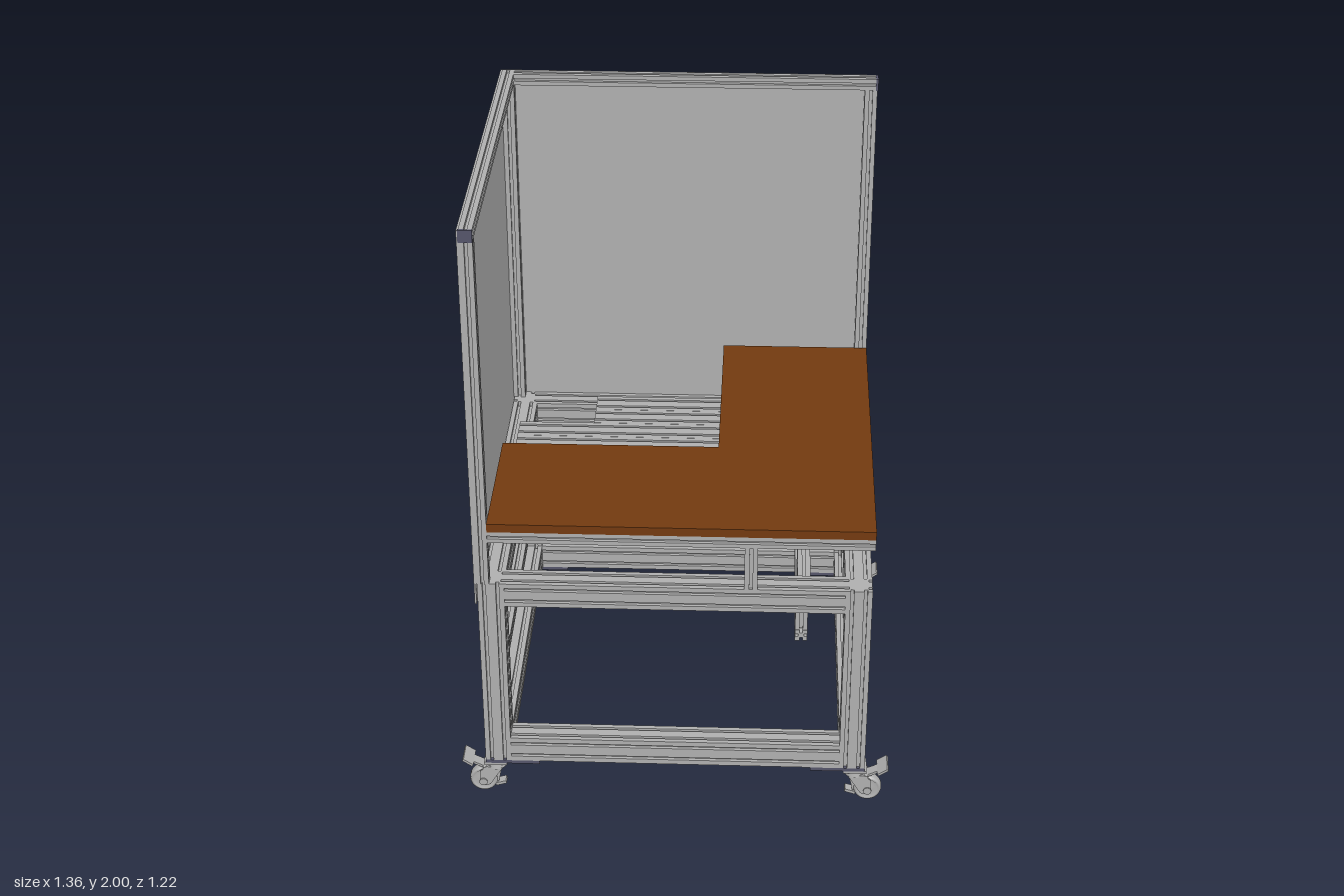
import * as THREE from 'three';

const mat = (name, color, extra = {}) => Object.assign(new THREE.MeshStandardMaterial({ color, ...extra }), { name });

export function createModel() {
  const root = new THREE.Group();
  root.name = 'workstation';
  const metal = mat('aluminium grey', 0xb0b0b0);
  const brown = mat('table brown', 0x733a10);
  const blue = mat('plate blue', 0x2139bd);
  const dark = mat('slate plate', 0x55556a);

  const add = (name, geo, material, parent = root) => {
    const m = new THREE.Mesh(geo, material);
    m.name = name;
    parent.add(m);
    return m;
  };
  const mid = (r) => (r[0] + r[1]) / 2;
  const len = (r) => r[1] - r[0];

  // Plain block given by its ranges
  const block = (name, material, x, y, z, parent) => {
    const m = add(name, new THREE.BoxGeometry(len(x), len(y), len(z)), material, parent);
    m.position.set(mid(x), mid(y), mid(z));
    return m;
  };

  // Slotted profile: one slot per 0.04 of side length
  const profile = (w, h) => {
    const pts = [];
    const corners = [[-w / 2, -h / 2], [w / 2, -h / 2], [w / 2, h / 2], [-w / 2, h / 2]];
    const dirs = [[1, 0], [0, 1], [-1, 0], [0, -1]];
    corners.forEach(([cx, cy], i) => {
      const [dx, dy] = dirs[i];
      const side = i % 2 ? h : w;
      const n = Math.max(1, Math.round(side / 0.04));
      const at = (t, d) => pts.push(new THREE.Vector2(cx + dx * t - dy * d, cy + dy * t + dx * d));
      at(0, 0);
      for (let k = 0; k < n; k++) {
        const c = (k + 0.5) * side / n;
        at(c - 0.005, 0);
        at(c - 0.005, 0.011);
        at(c + 0.005, 0.011);
        at(c + 0.005, 0);
      }
    });
    return new THREE.Shape(pts);
  };

  // Slotted bar filling the given ranges, running along one axis
  const bar = (name, axis, x, y, z) => {
    const [w, h, l] = axis === 'x' ? [len(z), len(y), len(x)]
      : axis === 'y' ? [len(x), len(z), len(y)] : [len(x), len(y), len(z)];
    const g = new THREE.ExtrudeGeometry(profile(w, h), { depth: l, bevelEnabled: false });
    g.translate(0, 0, -l / 2);
    if (axis === 'x') g.rotateY(Math.PI / 2);
    if (axis === 'y') g.rotateX(-Math.PI / 2);
    add(name, g, metal).position.set(mid(x), mid(y), mid(z));
  };
  const span = (s, a, b) => (s > 0 ? [a, b] : [-b, -a]);

  // Lower frame: legs, top and bottom beams
  const O = 0.602, I = 0.52;
  for (const s of [-1, 1]) {
    for (const t of [-1, 1]) {
      bar('leg', 'y', span(s, I, O), [0.14, 0.812], span(t, I, O));
      block('footPlate', dark, span(s, 0.43, O), [0.128, 0.14], span(t, I, O));
    }
    for (const [n, y] of [['topBeam', [0.73, 0.812]], ['bottomBeam', [0.14, 0.228]]]) {
      bar(n, 'x', [-I, I], y, span(s, I, O));
      bar(n, 'z', span(s, I, O), y, [-I, I]);
    }
    bar('sideRail', 'z', span(s, 0.54, 0.58), [0.4, 0.44], [-I, I]);
    bar('hangingPost', 'y', [0.375, 0.415], [0.44, 0.73], span(s, 0.232, 0.272));
  }
  bar('backRail', 'x', [-I, I], [0.4, 0.44], [-0.58, -0.54]);
  bar('innerRail', 'z', [0.375, 0.415], [0.4, 0.44], [-0.54, 0.275]);
  bar('upperInnerRail', 'z', [0.375, 0.415], [0.73, 0.77], [-I, I]);

  // Slatted deck with an open back corner
  for (let i = 0; i < 8; i++) {
    const z = -0.52 + i * 0.0915;
    bar('deckSlat', 'x', [i < 2 ? -0.31 : -0.56, 0.29], [0.812, 0.845], [z, z + 0.0905]);
  }

  // Screen frame and sheets
  const P = [0.565, 0.605];
  const neg = [-0.605, -0.565];
  bar('screenPost', 'y', neg, [0.812, 1.963], neg);
  bar('screenPost', 'y', neg, [0.812, 1.963], P);
  bar('screenPost', 'y', P, [0.812, 1.963], neg);
  bar('screenTopRail', 'z', neg, [1.963, 2], [-0.605, 0.6]);
  bar('screenTopRail', 'x', [-0.565, 0.6], [1.963, 2], neg);
  block('railEndCap', dark, [-0.607, -0.565], [1.961, 2], [0.6, 0.608]);
  block('railEndCap', dark, [0.6, 0.608], [1.961, 2], [-0.607, -0.565]);
  block('sideSheet', metal, [-0.611, -0.605], [0.74, 1.998], [-0.611, 0.605]);
  block('backSheet', metal, [-0.605, 0.605], [0.74, 1.998], [-0.611, -0.605]);

  // Table supports
  const R = [0.962, 1.0];
  bar('tableRail', 'x', [-0.565, 0.605], R, P);
  bar('tableRail', 'z', P, R, [-0.565, 0.565]);
  bar('tableRail', 'x', [-0.565, 0.212], R, [0.212, 0.252]);
  bar('tableRail', 'z', [0.212, 0.252], R, [-0.565, 0.565]);
  for (const [x, z] of [[[0.212, 0.252], P], [P, [0.212, 0.252]]]) {
    bar('tablePost', 'y', x, [0.812, 0.962], z);
  }
  bar('tablePost', 'y', [0.212, 0.252], [0.812, 0.962], [0.212, 0.252]);

  // L-shaped table top
  const L = new THREE.Shape([[-0.565, 0.605], [-0.565, 0.12], [0.12, 0.12], [0.12, -0.565], [0.605, -0.565], [0.605, 0.605]]
    .map(([x, z]) => new THREE.Vector2(x, z)));
  const top = new THREE.ExtrudeGeometry(L, { depth: 0.028, bevelEnabled: false });
  top.rotateX(Math.PI / 2);
  add('tableTop', top, brown).position.y = 1.028;

  // Mounting plate with centre pin and screws
  block('mountingPlate', blue, [-0.152, 0.152], [0.852, 0.866], [-0.155, 0.155]);
  add('centrePin', new THREE.CylinderGeometry(0.006, 0.008, 0.012, 16), blue).position.set(0, 0.871, 0);
  for (const [x, z] of [[0.025, -0.11], [-0.11, 0.025], [0.075, 0.075]]) {
    add('plateScrew', new THREE.CylinderGeometry(0.007, 0.007, 0.022, 16), metal).position.set(x, 0.856, z);
  }

  // Casters, wheel trailing outward
  const wheelProfile = [[0.012, -0.016], [0.03, -0.012], [0.035, -0.018], [0.042, -0.016], [0.045, -0.008],
    [0.045, 0.008], [0.042, 0.016], [0.035, 0.018], [0.03, 0.012], [0.012, 0.016]].map(([a, b]) => new THREE.Vector2(a, b));
  const forkShape = new THREE.Shape([[-0.02, 0.1], [0.02, 0.035], [0.04, 0.03], [0.055, 0.04], [0.052, 0.085], [0.03, 0.105]]
    .map(([a, b]) => new THREE.Vector2(a, b)));
  for (const s of [-1, 1]) for (const t of [-1, 1]) {
    const c = new THREE.Group();
    c.name = 'caster';
    c.position.set(s * 0.572, 0, t * 0.565);
    if (s < 0) c.rotation.y = Math.PI;
    root.add(c);
    block('casterPlate', metal, [-0.037, 0.037], [0.118, 0.128], [-0.035, 0.035], c);
    add('swivel', new THREE.CylinderGeometry(0.028, 0.032, 0.02, 24), metal, c).position.y = 0.108;
    const wheel = add('wheel', new THREE.LatheGeometry(wheelProfile, 28), metal, c);
    wheel.rotation.x = Math.PI / 2;
    wheel.position.set(0.042, 0.046, 0);
    const axle = add('axle', new THREE.CylinderGeometry(0.013, 0.013, 0.064, 16), metal, c);
    axle.rotation.x = Math.PI / 2;
    axle.position.copy(wheel.position);
    for (const k of [-1, 1]) {
      const fork = new THREE.ExtrudeGeometry(forkShape, { depth: 0.006, bevelEnabled: false });
      add('fork', fork, metal, c).position.z = k * 0.025 - 0.003;
    }
    block('forkBridge', metal, [-0.018, 0.042], [0.092, 0.102], [-0.028, 0.028], c);
    // Brake pedal: arm and wide tread
    const arm = block('pedalArm', metal, [0.035, 0.09], [0.104, 0.112], [-0.018, 0.018], c);
    arm.rotation.z = 0.45;
    const tread = block('pedalTread', metal, [0.07, 0.107], [0.122, 0.13], [-0.038, 0.038], c);
    tread.rotation.z = 0.6;
    block('brakeTail', metal, [-0.03, 0.005], [0.025, 0.035], [-0.015, 0.015], c).rotation.z = -0.3;
    block('brakeLink', metal, [-0.012, 0], [0.035, 0.1], [-0.012, 0.012], c).rotation.z = 0.2;
  }
  return root;
}
